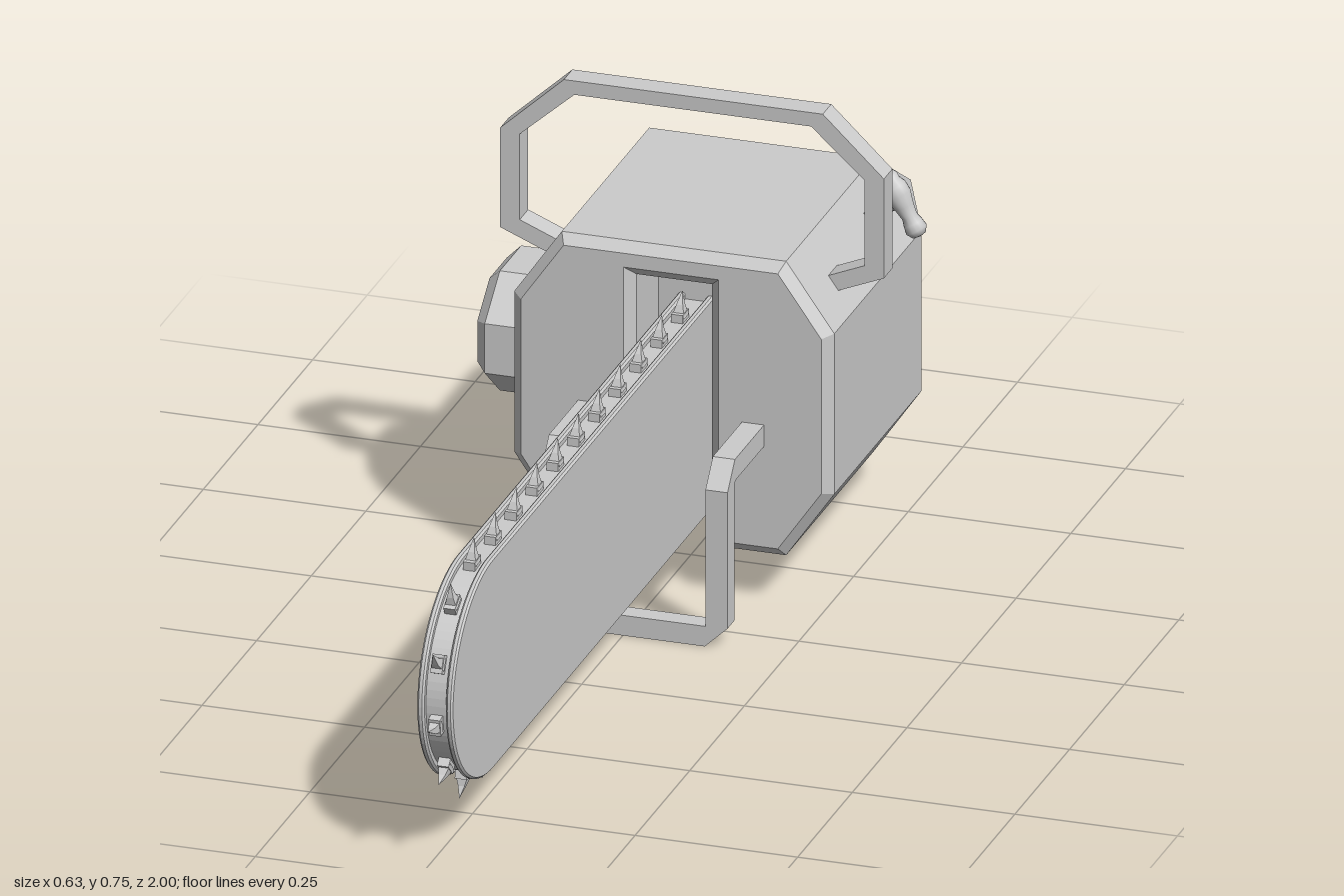
import * as THREE from 'three';

const CX = 0.018; // symmetry plane of the machine
const flat = new THREE.MeshStandardMaterial({ color: 0xcccccc, flatShading: true, side: THREE.DoubleSide });
const smooth = new THREE.MeshStandardMaterial({ color: 0xcccccc, side: THREE.DoubleSide });

function add(parent, name, geometry, material = flat) {
  const mesh = new THREE.Mesh(geometry, material);
  mesh.name = name;
  parent.add(mesh);
  return mesh;
}

const polygon = pts => new THREE.Shape(pts.map(p => new THREE.Vector2(...p)));

// Front-facing outline (x, y) extruded from z0 to z1
function extrudeZ(pts, z0, z1) {
  return new THREE.ExtrudeGeometry(polygon(pts), { depth: z1 - z0, bevelEnabled: false }).translate(0, 0, z0);
}

// Side outline (z, y) extruded across x, centred on x
function extrudeX(shape, x, width, bevel = 0) {
  return new THREE.ExtrudeGeometry(shape, {
    depth: width - 2 * bevel, curveSegments: 20, bevelEnabled: bevel > 0,
    bevelThickness: bevel, bevelSize: bevel, bevelOffset: -bevel, bevelSegments: 1,
  }).translate(0, 0, bevel - width / 2).rotateY(-Math.PI / 2).translate(x, 0, 0);
}

// Skin over matching loops, ordered front to back, each counter-clockwise from the front
function loft(loops) {
  const n = loops[0].length, index = [];
  for (let s = 0; s < loops.length - 1; s++) {
    for (let i = 0; i < n; i++) {
      const j = (i + 1) % n, a = s * n, b = a + n;
      index.push(a + i, b + i, b + j, a + i, b + j, a + j);
    }
  }
  const last = (loops.length - 1) * n;
  for (let i = 1; i < n - 1; i++) index.push(0, i, i + 1, last, last + i + 1, last + i);
  const g = new THREE.BufferGeometry();
  g.setAttribute('position', new THREE.Float32BufferAttribute(loops.flat(2), 3));
  g.setIndex(index);
  const out = g.toNonIndexed();
  out.computeVertexNormals();
  return out;
}

function buildBody(root) {
  const body = new THREE.Group();
  body.name = 'engineHousing';
  root.add(body);
  const octagon = [[0.19, 0.08], [0.264, 0.187], [0.264, 0.442], [0.19, 0.547],
    [-0.155, 0.547], [-0.228, 0.442], [-0.228, 0.187], [-0.155, 0.08]];
  // Rear shell: octagon tapering to a rectangle
  const back = octagon.map(([x, y]) =>
    [THREE.MathUtils.clamp(x, -0.155, 0.19), THREE.MathUtils.clamp(y, 0.187, 0.442), -0.69]);
  add(body, 'rearHousing', loft([
    octagon.map(p => [...p, -0.22]), octagon.map(p => [...p, -0.52]), back]));
  // Front shell with the bar slot, bevelled around the front edge
  const slot = [[-0.04, 0.08], [-0.04, 0.495], [0.076, 0.495], [0.076, 0.08]];
  const front = new THREE.ExtrudeGeometry(polygon([...octagon, ...slot]), {
    depth: 0.1, bevelThickness: 0.015, bevelSize: 0.015, bevelOffset: -0.015, bevelSegments: 1,
  });
  add(body, 'frontHousing', front.translate(0, 0, -0.22));
}

function buildBar(root) {
  const saw = new THREE.Group();
  saw.name = 'guideBarAndChain';
  root.add(saw);
  const cy = 0.2625, noseZ = 0.79;
  // Long outline with an elliptical nose, shrunk by an inset
  const outline = (path, inset) => {
    path.moveTo(-0.222, cy - 0.1675 + inset);
    path.lineTo(noseZ, cy - 0.1675 + inset);
    path.absellipse(noseZ, cy, 0.187 - inset, 0.1675 - inset, -Math.PI / 2, Math.PI / 2, false, 0);
    path.lineTo(-0.222, cy + 0.1675 - inset);
    return path;
  };
  for (const side of [-1, 1]) {
    add(saw, 'barPlate', extrudeX(outline(new THREE.Shape(), 0), CX + side * 0.022, 0.011, 0.003));
  }
  add(saw, 'chainBand', extrudeX(outline(new THREE.Shape(), 0.01), CX, 0.036));

  // Hooked teeth spaced evenly along the outline
  const tooth = new THREE.ConeGeometry(0.014, 0.036, 4, 2).rotateY(Math.PI / 4).translate(0, 0.018, 0);
  const p = tooth.attributes.position;
  for (let i = 0; i < p.count; i++) {
    const h = p.getY(i) / 0.036;
    p.setX(i, p.getX(i) - 0.012 * h * h);
  }
  const path = outline(new THREE.Path(), 0.004);
  const count = 27;
  for (let i = 0; i < count; i++) {
    const t = (i + 0.2) / count, at = path.getPoint(t), dir = path.getTangent(t);
    const link = new THREE.Group();
    link.name = 'chainTooth';
    add(link, 'cutter', tooth);
    add(link, 'linkBase', new THREE.BoxGeometry(0.028, 0.014, 0.018));
    // local x follows the chain, local y points outward
    link.matrixAutoUpdate = true;
    link.quaternion.setFromRotationMatrix(new THREE.Matrix4().makeBasis(
      new THREE.Vector3(0, -dir.y, -dir.x), new THREE.Vector3(0, -dir.x, dir.y), new THREE.Vector3(-1, 0, 0)));
    link.position.set(CX, at.y, at.x);
    saw.add(link);
  }
}

function buildHandles(root) {
  // Hoop over the top, feet running into the sloped shoulders
  add(root, 'topHandle', extrudeZ([
    [-0.19, 0.466], [-0.278, 0.502], [-0.278, 0.66], [-0.18, 0.75], [0.218, 0.75], [0.312, 0.66],
    [0.312, 0.502], [0.225, 0.466], [0.215, 0.49], [0.282, 0.518], [0.282, 0.654], [0.2, 0.728],
    [-0.164, 0.728], [-0.248, 0.654], [-0.248, 0.518], [-0.18, 0.49]], -0.243, -0.204));

  // U-shaped guard under the bar with two arms back to the housing
  add(root, 'frontGuard', extrudeZ([
    [-0.125, 0.25], [-0.125, 0.034], [-0.09, 0.001], [0.126, 0.001], [0.161, 0.034], [0.161, 0.25],
    [0.127, 0.25], [0.127, 0.033], [-0.091, 0.033], [-0.091, 0.25]], 0.03, 0.062));
  for (const x of [-0.108, 0.144]) {
    add(root, 'guardArm', extrudeX(polygon([
      [-0.12, 0.255], [0.025, 0.255], [0.03, 0.25], [0.062, 0.25], [0.028, 0.289], [-0.12, 0.289]]), x, 0.034));
  }

  // Rear grip: flared root, slim beam, bent end and end plate
  const section = (zTop, yTop, zBot, yBot, half) => [
    [CX - half, yBot, zBot], [CX + half, yBot, zBot], [CX + half, yTop, zTop], [CX - half, yTop, zTop]];
  add(root, 'rearHandle', loft([
    section(-0.68, 0.361, -0.68, 0.27, 0.043), section(-0.728, 0.329, -0.724, 0.287, 0.024),
    section(-0.915, 0.277, -0.88, 0.235, 0.024), section(-0.978, 0.244, -0.942, 0.187, 0.032)]));
  add(root, 'rearHandleCap', loft([
    section(-0.979, 0.251, -0.938, 0.181, 0.042), section(-0.994, 0.242, -0.953, 0.173, 0.042)]));
  add(root, 'trigger', extrudeX(polygon([
    [-0.735, 0.295], [-0.76, 0.285], [-0.758, 0.262], [-0.764, 0.243], [-0.748, 0.255]]), CX, 0.016));
}

function buildStarter(root) {
  const starter = new THREE.Group();
  starter.name = 'starterCover';
  starter.position.set(-0.226, 0.315, -0.302);
  root.add(starter);
  // Octagonal cover with a recessed vent
  const profile = [[1, 0], [1, 0.069], [0.81, 0.088], [0.62, 0.088], [0.58, 0.074], [0, 0.074]];
  const k = 1 / Math.cos(Math.PI / 8);
  const cover = new THREE.LatheGeometry(profile.map(([r, h]) => new THREE.Vector2(r * k, h)), 8, Math.PI / 8);
  add(starter, 'cover', cover.rotateZ(Math.PI / 2).scale(1, 0.095, 0.118));
  for (let i = -3; i <= 3; i++) {
    const y = i * 0.014, half = 0.07 * Math.sqrt(1 - (y / 0.06) ** 2);
    add(starter, 'ventSlat', new THREE.BoxGeometry(0.012, 0.006, 2 * half)).position.set(-0.079, y, 0);
  }
}

function buildLever(root) {
  const lever = new THREE.Group();
  lever.name = 'pullLever';
  lever.position.set(0.27, 0.529, -0.415);
  lever.rotation.z = 0.5;
  root.add(lever);
  // Rounded grip, thicker at its upper end
  const profile = [[0, -0.056], [0.011, -0.053], [0.017, -0.044], [0.015, -0.033], [0.012, -0.022],
    [0.015, -0.005], [0.02, 0.014], [0.019, 0.028], [0.014, 0.038], [0.014, 0.046], [0.009, 0.053], [0, 0.056]];
  add(lever, 'grip', new THREE.LatheGeometry(profile.map(p => new THREE.Vector2(...p)), 14), smooth);
  add(lever, 'stem', new THREE.CylinderGeometry(0.006, 0.006, 0.06, 8).rotateZ(Math.PI / 2)).position.x = -0.03;
  add(lever, 'mount', new THREE.BoxGeometry(0.03, 0.022, 0.03)).position.x = -0.052;
}

export function createModel() {
  const root = new THREE.Group();
  root.name = 'chainsaw';
  buildBody(root);
  buildBar(root);
  buildHandles(root);
  buildStarter(root);
  buildLever(root);
  return root;
}
